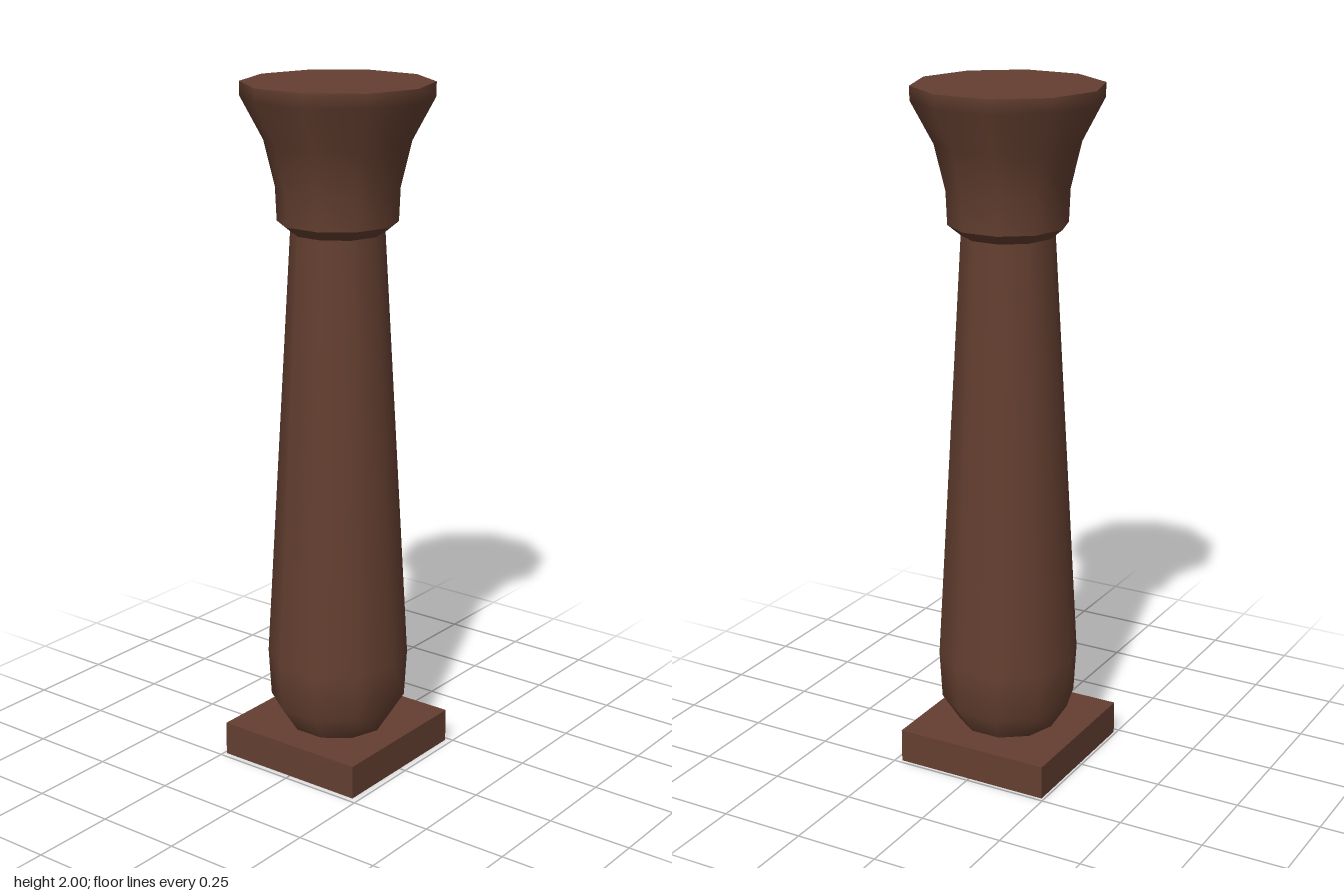
import * as THREE from 'three';

const SIDES = 10;

export function createModel() {
  const model = new THREE.Group();
  model.name = 'column';
  const brown = new THREE.MeshStandardMaterial({ color: 0x643f30, side: THREE.DoubleSide });
  brown.name = 'brown';

  const add = (name, geometry) => {
    const mesh = new THREE.Mesh(geometry, brown);
    mesh.name = name;
    model.add(mesh);
    return mesh;
  };

  // Ten-sided turned part from [radius, height] pairs, with a corner on +x
  const turned = (name, profile) =>
    add(name, new THREE.LatheGeometry(
      profile.map(([r, y]) => new THREE.Vector2(r, y)), SIDES, Math.PI / 2));

  // Square plinth, hollow and open underneath
  const plinth = new THREE.BoxGeometry(0.472, 0.1, 0.471);
  const index = Array.from(plinth.index.array);
  index.splice(18, 6); // remove the bottom face
  plinth.setIndex(index);
  plinth.clearGroups();
  add('plinth', plinth).position.set(-0.006, 0.05, -0.003);

  // Tapering shaft with a rounded foot
  turned('shaft', [[0.146, 0.1], [0.198, 0.18], [0.206, 0.32], [0.133, 1.585]]);

  // Capital: sloping collar, flared bell and flat top
  turned('collar', [[0.133, 1.585], [0.17, 1.615]]);
  turned('capital', [[0.17, 1.615], [0.174, 1.71], [0.205, 1.84], [0.269, 1.96], [0.269, 2]]);
  const lid = add('capitalTop', new THREE.CircleGeometry(0.269, SIDES).rotateX(-Math.PI / 2));
  lid.position.y = 2;

  return model;
}
